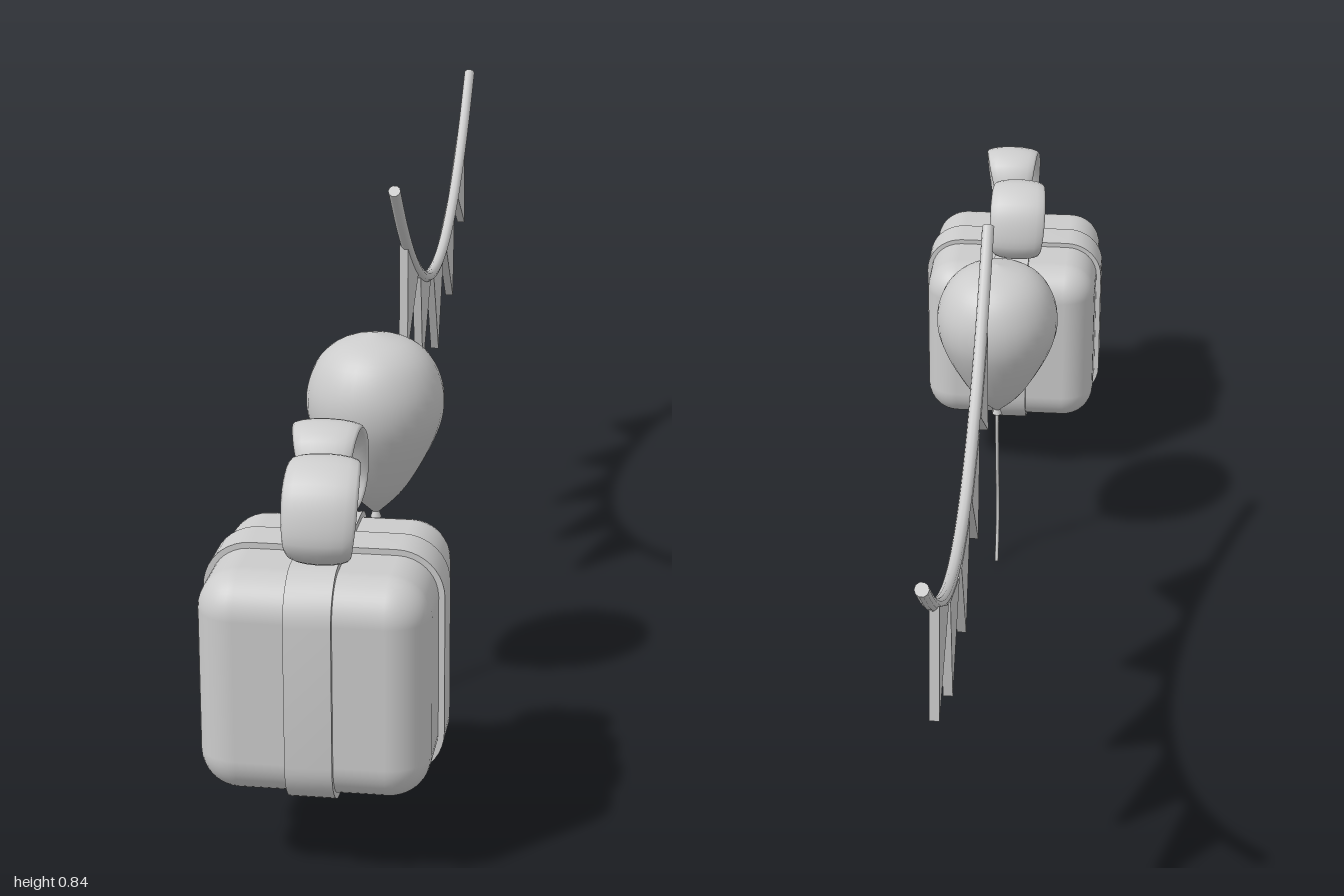
import * as THREE from 'three';
import { toCreasedNormals } from 'three/addons/utils/BufferGeometryUtils.js';
import { RoundedBoxGeometry } from 'three/addons/geometries/RoundedBoxGeometry.js';
import { ParametricGeometry } from 'three/addons/geometries/ParametricGeometry.js';

const material = new THREE.MeshStandardMaterial({ color: 0xcccccc });

function add(parent, name, geometry) {
  const mesh = new THREE.Mesh(geometry, material);
  mesh.name = name;
  parent.add(mesh);
  return mesh;
}

// Tube along a curve with flat end caps
function cappedTube(parent, name, curve, segments, radius, sides) {
  add(parent, name, new THREE.TubeGeometry(curve, segments, radius, sides));
  for (const t of [0, 1]) {
    const cap = add(parent, name + 'End', new THREE.CircleGeometry(radius, sides));
    const p = curve.getPoint(t);
    cap.position.copy(p);
    cap.lookAt(p.clone().addScaledVector(curve.getTangent(t), t ? 1 : -1));
  }
}

// Rounded square outline, h = half side, r = corner radius
function roundedSquare(path, h, r) {
  const k = h - r;
  path.moveTo(k, -h);
  path.absarc(k, -k, r, -Math.PI / 2, 0);
  path.absarc(k, k, r, 0, Math.PI / 2);
  path.absarc(-k, k, r, Math.PI / 2, Math.PI);
  path.absarc(-k, -k, r, Math.PI, Math.PI * 1.5);
  path.closePath();
  return path;
}

function ribbonBand(width) {
  const shape = roundedSquare(new THREE.Shape(), 0.176, 0.07);
  shape.holes.push(roundedSquare(new THREE.Path(), 0.155, 0.052));
  const geo = new THREE.ExtrudeGeometry(shape, { depth: width, bevelEnabled: false, curveSegments: 5 });
  geo.translate(0, 0, -width / 2);
  return toCreasedNormals(geo, 0.6);
}

// Puffy ribbon loop: an ellipse swept round a teardrop, widest half way
function bowLoop() {
  const path = new THREE.CatmullRomCurve3([
    [0.185, 0.005], [0.251, 0.021], [0.304, 0.045], [0.318, 0.082], [0.294, 0.125],
    [0.251, 0.144], [0.213, 0.144], [0.192, 0.12], [0.184, 0.07], [0.184, 0.005],
  ].map(([y, z]) => new THREE.Vector3(0, y, z)));
  return new ParametricGeometry((u, v, target) => {
    const p = path.getPointAt(u), t = path.getTangentAt(u), a = v * Math.PI * 2;
    const swell = Math.pow(Math.max(0, Math.sin(Math.PI * u)), 0.8);
    const across = (0.009 + 0.045 * swell) * Math.cos(a);
    const out = 0.011 * Math.sin(a);
    target.set(0.013 * swell + across, p.y - t.z * out, p.z + t.y * out);
  }, 40, 16);
}

function createGift() {
  const gift = new THREE.Group();
  gift.name = 'gift';
  add(gift, 'box', new RoundedBoxGeometry(0.334, 0.334, 0.334, 5, 0.06));
  add(gift, 'sideRibbon', ribbonBand(0.066));
  add(gift, 'frontRibbon', ribbonBand(0.068)).rotation.y = Math.PI / 2;
  const loop = bowLoop();
  add(gift, 'frontBowLoop', loop);
  add(gift, 'backBowLoop', loop).rotation.y = Math.PI;
  gift.position.set(0, 0.301, 0.824);
  return gift;
}

function createBalloon() {
  const balloon = new THREE.Group();
  balloon.name = 'balloon';
  const profile = new THREE.SplineCurve([
    [0.006, 0.345], [0.04, 0.378], [0.067, 0.417], [0.095, 0.47], [0.11, 0.516],
    [0.109, 0.562], [0.09, 0.606], [0.055, 0.634], [0, 0.648],
  ].map(([r, y]) => new THREE.Vector2(r, y)));
  const points = profile.getPoints(32).map(p => new THREE.Vector2(Math.max(0, p.x), p.y));
  add(balloon, 'balloonBody', new THREE.LatheGeometry(points, 32));
  add(balloon, 'balloonKnot', new THREE.CylinderGeometry(0.005, 0.009, 0.012, 16)).position.y = 0.341;
  // Wavy string
  const string = new THREE.CatmullRomCurve3([
    [0.345, 0], [0.32, -0.003], [0.27, 0.002], [0.18, 0.016], [0.12, 0.026], [0.06, 0.02], [0.001, 0],
  ].map(([y, z]) => new THREE.Vector3(0, y, z)));
  cappedTube(balloon, 'balloonString', string, 40, 0.0035, 8);
  balloon.position.z = 0.344;
  return balloon;
}

function createBunting() {
  const bunting = new THREE.Group();
  bunting.name = 'bunting';
  const mid = -0.434, half = 0.559;
  const ropeY = z => 0.557 + 0.273 * ((z - mid) / half) ** 2;
  const points = [];
  for (let i = 0; i <= 12; i++) {
    const z = mid + half * (1 - i / 6);
    points.push(new THREE.Vector3(0, ropeY(z), z));
  }
  cappedTube(bunting, 'rope', new THREE.CatmullRomCurve3(points), 48, 0.0105, 10);

  // Pennants hang square to the rope: start z, end z, tip z, tip y
  const flags = [
    [-0.022, -0.163, -0.013, 0.506], [-0.19, -0.338, -0.222, 0.416], [-0.379, -0.531, -0.457, 0.388],
    [-0.566, -0.713, -0.69, 0.432], [-0.74, -0.875, -0.891, 0.535],
  ];
  for (const [z0, z1, tipZ, tipY] of flags) {
    const shape = new THREE.Shape([
      new THREE.Vector2(-z0, ropeY(z0) - 0.004),
      new THREE.Vector2(-tipZ, tipY),
      new THREE.Vector2(-z1, ropeY(z1) - 0.004),
    ]);
    const geo = new THREE.ExtrudeGeometry(shape, { depth: 0.015, bevelEnabled: false });
    geo.translate(0, 0, -0.0115);
    geo.rotateY(Math.PI / 2);
    add(bunting, 'pennant', geo);
  }
  return bunting;
}

export function createModel() {
  const model = new THREE.Group();
  model.name = 'partyDecorations';
  model.add(createGift(), createBalloon(), createBunting());
  return model;
}
